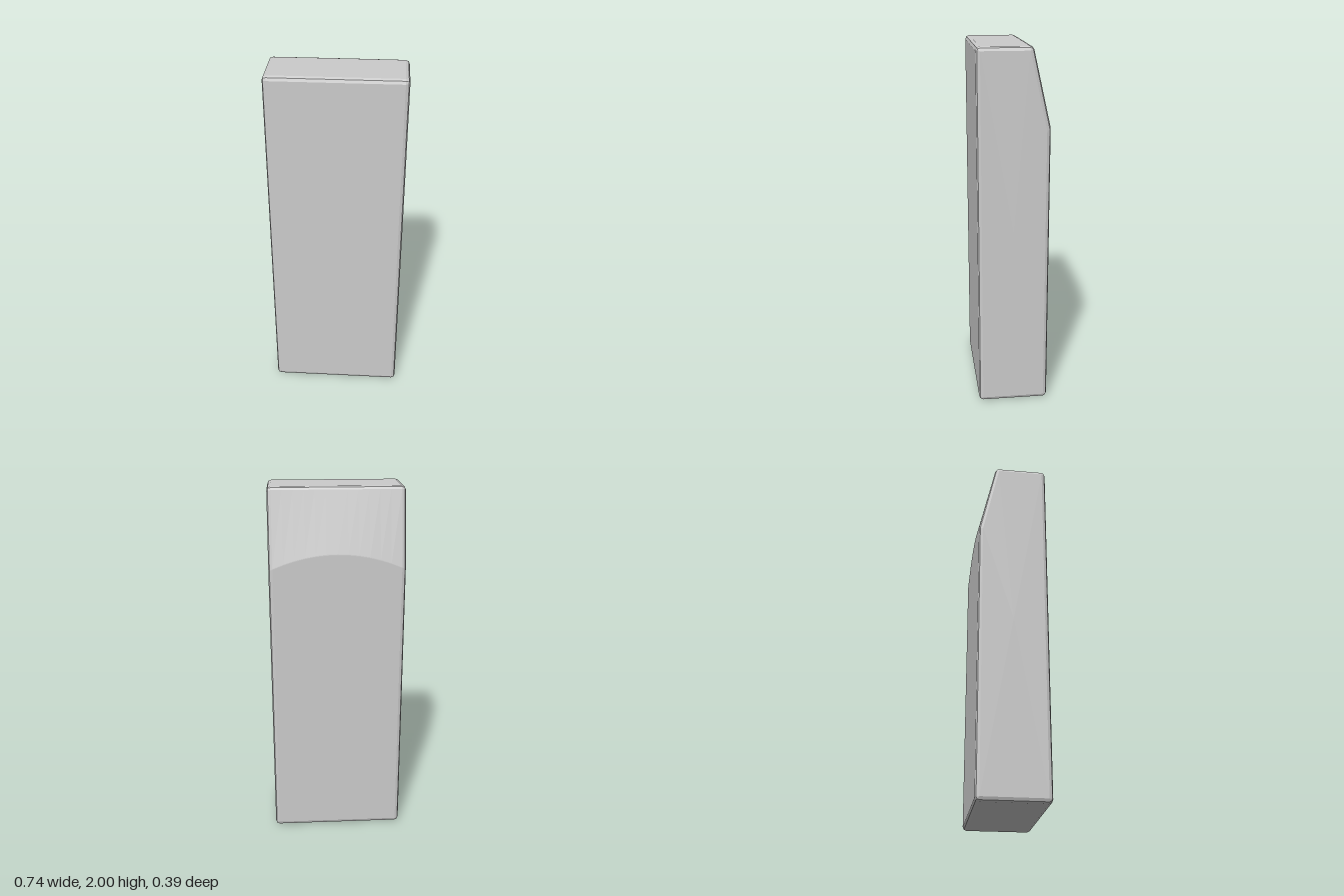
import * as THREE from 'three';

const HALF_W = 0.37, HALF_D = 0.195, HEIGHT = 2, BEVEL = 0.022, STEPS = 2;

// Sharp side profile [z, y] at a given x; the lower edge of the back slope is arched.
function profile(x) {
  const arch = 1.57 + 0.085 * (1 - (x / HALF_W) ** 2);
  return [[HALF_D, 0], [HALF_D, HEIGHT], [-0.1, HEIGHT], [-HALF_D, arch], [-HALF_D, 0]];
}

// Profile shrunk by BEVEL, then grown back with round corners of radius rho.
function ring(x, rho) {
  const p = profile(x), n = p.length;
  const angle = p.map((a, i) => {
    const b = p[(i + 1) % n];
    return Math.atan2(a[0] - b[0], b[1] - a[1]); // direction of the edge's outward normal
  });
  const points = [];
  p.forEach(([z, y], i) => {
    const start = angle[(i + n - 1) % n];
    let turn = angle[i] - start;
    if (turn < 0) turn += Math.PI * 2;
    const mid = start + turn / 2, miter = BEVEL / Math.cos(turn / 2);
    const cz = z - miter * Math.cos(mid), cy = y - miter * Math.sin(mid);
    for (let s = 0; s <= STEPS; s++) {
      const a = start + (turn * s) / STEPS;
      points.push([x, cy + rho * Math.sin(a), cz + rho * Math.cos(a)]);
    }
  });
  return points;
}

function bodyGeometry() {
  // Rings from right to left: bevelled end, arched middle, bevelled end
  const rings = [], inner = HALF_W - BEVEL, columns = 12;
  for (let s = STEPS; s > 0; s--) {
    const a = (s / STEPS) * Math.PI / 2;
    rings.push(ring(-inner - BEVEL * Math.sin(a), BEVEL * Math.cos(a)));
  }
  for (let i = 0; i <= columns; i++) rings.push(ring(-inner + (2 * inner * i) / columns, BEVEL));
  for (let s = 1; s <= STEPS; s++) {
    const a = (s / STEPS) * Math.PI / 2;
    rings.push(ring(inner + BEVEL * Math.sin(a), BEVEL * Math.cos(a)));
  }

  const m = rings[0].length, last = rings.length - 1;
  const positions = rings.flat(2), index = [];
  for (let i = 0; i < last; i++) {
    for (let k = 0; k < m; k++) {
      const a = i * m + k, d = i * m + ((k + 1) % m), b = a + m, c = d + m;
      index.push(a, b, c, a, c, d);
    }
  }
  // Flat side caps
  const right = positions.length / 3, left = right + 1;
  positions.push(-HALF_W, HEIGHT / 2, 0, HALF_W, HEIGHT / 2, 0);
  for (let k = 0; k < m; k++) {
    const next = (k + 1) % m;
    index.push(right, k, next, left, last * m + next, last * m + k);
  }

  const geometry = new THREE.BufferGeometry();
  geometry.setAttribute('position', new THREE.Float32BufferAttribute(positions, 3));
  geometry.setIndex(index);
  const flat = geometry.toNonIndexed();
  flat.computeVertexNormals();
  return flat;
}

export function createModel() {
  const group = new THREE.Group();
  group.name = 'slopedBlock';
  const material = new THREE.MeshStandardMaterial({ color: 0xcccccc, flatShading: true });
  const body = new THREE.Mesh(bodyGeometry(), material);
  body.name = 'body';
  group.add(body);
  return group;
}
